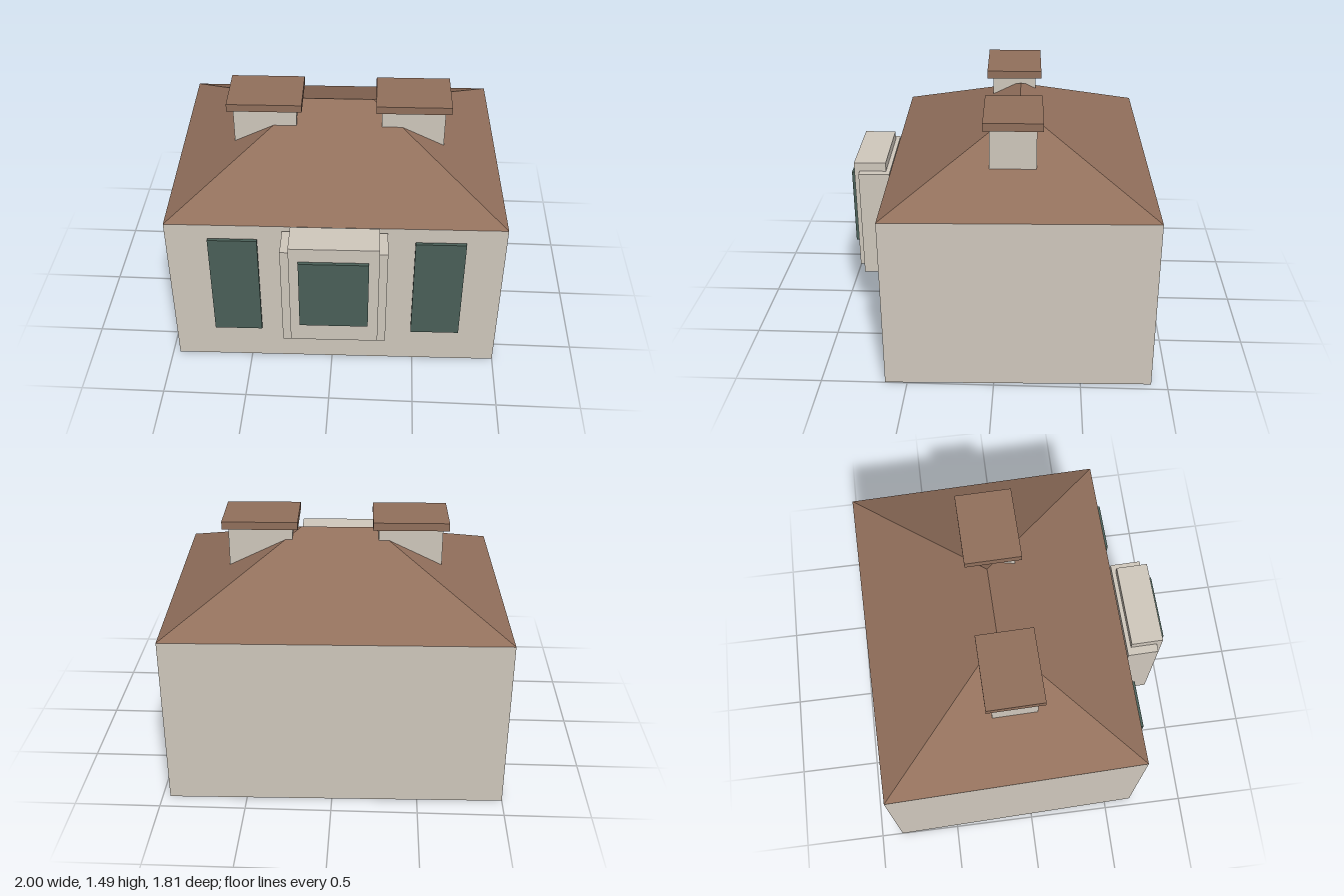
import * as THREE from 'three';

const wallMat = new THREE.MeshStandardMaterial({ name: 'cream plaster', color: 0xd0c8bd });
const roofMat = new THREE.MeshStandardMaterial({ name: 'brown tile', color: 0x92705c });
const glassMat = new THREE.MeshStandardMaterial({ name: 'dark green', color: 0x4a6058 });

const TURN = 0.0215; // the house stands slightly turned on its plot
const EAVE = 1.035, RIDGE = 1.41;

// flat-faced mesh from convex polygons, corners counter-clockwise from outside
function polygons(name, faces, material) {
  const pos = [];
  for (const f of faces) {
    for (let i = 1; i < f.length - 1; i++) pos.push(...f[0], ...f[i], ...f[i + 1]);
  }
  const geo = new THREE.BufferGeometry();
  geo.setAttribute('position', new THREE.Float32BufferAttribute(pos, 3));
  geo.computeVertexNormals();
  const mesh = new THREE.Mesh(geo, material);
  mesh.name = name;
  return mesh;
}

// turned box: centre x/z, width, depth, bottom and top
function block(name, x, z, w, d, y0, y1, material) {
  const mesh = new THREE.Mesh(new THREE.BoxGeometry(w, y1 - y0, d), material);
  mesh.position.set(x, (y0 + y1) / 2, z);
  mesh.rotation.y = TURN;
  mesh.name = name;
  return mesh;
}

export function createModel() {
  const house = new THREE.Group();
  house.name = 'house';

  // plan corners: front right, front left, back left, back right
  const plan = [[-0.957, 0.67], [1, 0.628], [0.955, -0.908], [-1, -0.867]];
  const low = plan.map(([x, z]) => [x, 0, z]);
  const top = plan.map(([x, z]) => [x, EAVE, z]);

  // walls with floor
  const sides = low.map((p, i) => {
    const j = (i + 1) % 4;
    return [p, low[j], top[j], top[i]];
  });
  house.add(polygons('walls', [...sides, [...low].reverse()], wallMat));

  // hipped roof
  const ridgeR = [-0.212, RIDGE, -0.115], ridgeL = [0.212, RIDGE, -0.124];
  house.add(polygons('roof', [
    [top[0], top[1], ridgeL, ridgeR],
    [top[1], top[2], ridgeL],
    [top[2], top[3], ridgeR, ridgeL],
    [top[3], top[0], ridgeR],
  ], roofMat));

  // dark patch under the front of the floor
  const y = -0.001;
  house.add(polygons('floorPatch', [
    [[-0.957, y, 0.56], [0.985, y, 0.17], [1, y, 0.628], [-0.957, y, 0.67]],
  ], glassMat));

  // chimneys with caps
  for (const [side, x, z] of [['right', -0.431, -0.07], ['left', 0.45, -0.09]]) {
    const chimney = new THREE.Group();
    chimney.name = side + 'Chimney';
    chimney.add(block('stack', x, z, 0.375, 0.265, 1.1, 1.44, wallMat));
    chimney.add(block('cap', x, z, 0.443, 0.335, 1.44, 1.487, roofMat));
    house.add(chimney);
  }

  // stepped bay on the front
  const bay = new THREE.Group();
  bay.name = 'bay';
  bay.add(block('bayBase', 0.022, 0.752, 0.602, 0.184, 0.34, 1.01, wallMat));
  bay.add(block('bayFront', 0.024, 0.78, 0.506, 0.19, 0.37, 1.063, wallMat));
  bay.add(block('bayWindow', 0.025, 0.891, 0.393, 0.02, 0.51, 0.977, glassMat));
  house.add(bay);

  // tall side windows
  house.add(block('rightWindow', -0.568, 0.68, 0.285, 0.02, 0.25, 0.945, glassMat));
  house.add(block('leftWindow', 0.625, 0.654, 0.29, 0.02, 0.25, 0.945, glassMat));

  return house;
}
